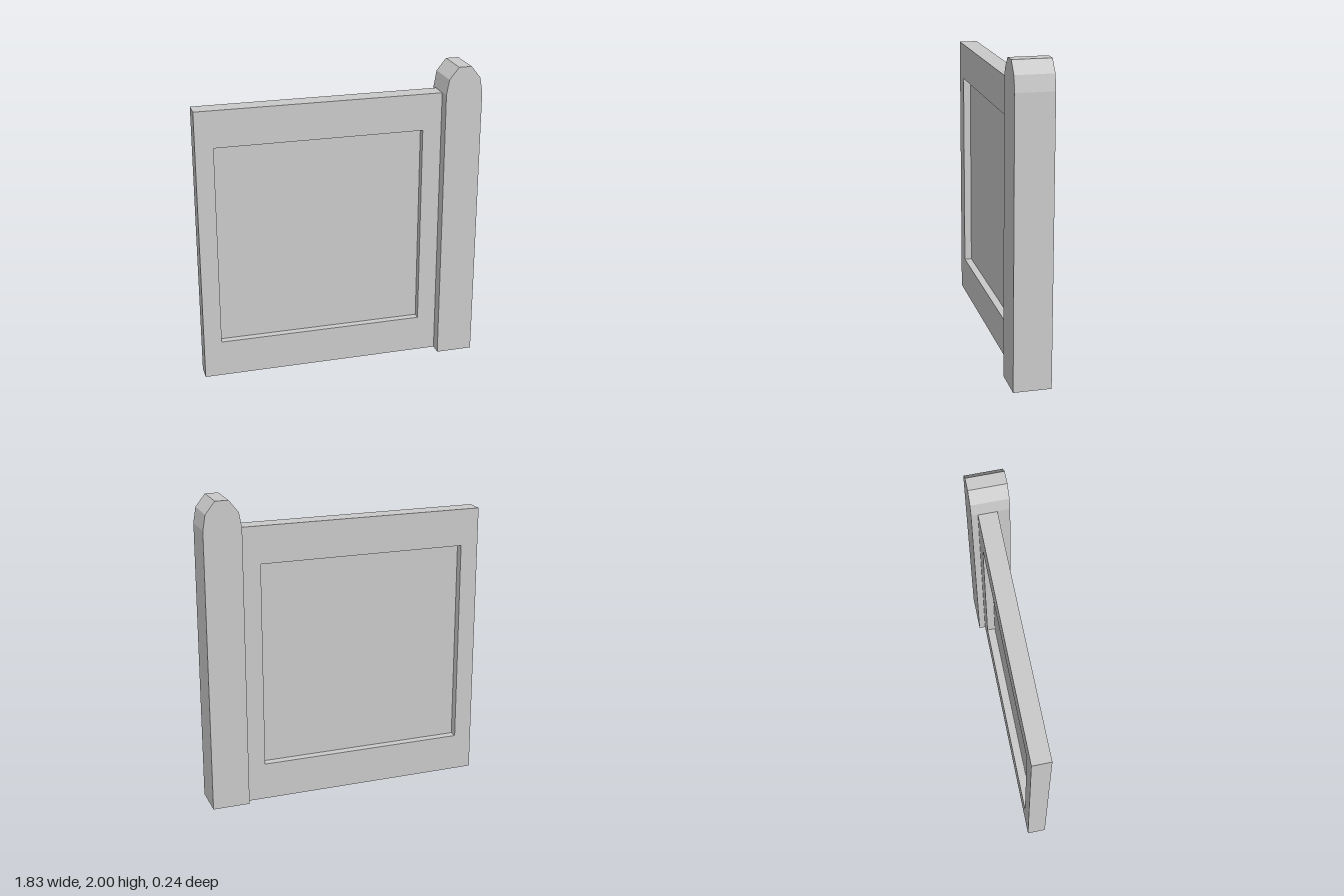
import * as THREE from 'three';

const material = new THREE.MeshStandardMaterial({ color: 0xcccccc, flatShading: true });

// Extrude a shape along z between two depths
function slab(name, shape, z0, z1) {
  const geometry = new THREE.ExtrudeGeometry(shape, { depth: z1 - z0, bevelEnabled: false });
  geometry.translate(0, 0, z0);
  const mesh = new THREE.Mesh(geometry, material);
  mesh.name = name;
  return mesh;
}

function rectPoints(x0, y0, x1, y1) {
  return [[x0, y0], [x1, y0], [x1, y1], [x0, y1]].map(([x, y]) => new THREE.Vector2(x, y));
}

export function createModel() {
  const model = new THREE.Group();
  model.name = 'fenceSection';

  // Everything is laid out around the post's axis, then turned slightly
  const section = new THREE.Group();
  section.name = 'postAndPanel';
  section.position.x = 0.793;
  section.rotation.y = -0.0185;
  model.add(section);

  // Square post with a faceted arched top, mirrored from one half profile
  const half = [[0.12, 0], [0.12, 1.825], [0.103, 1.923], [0.042, 2]];
  const outline = [...half, ...half.map(([x, y]) => [-x, y]).reverse()];
  const postShape = new THREE.Shape(outline.map(([x, y]) => new THREE.Vector2(x, y)));
  section.add(slab('post', postShape, -0.12, 0.12));

  // Panel frame with a rectangular opening; its inner end is set into the post
  const back = -0.078, front = 0.042;
  const opening = [-1.594, 0.243, -0.243, 1.58];
  const frameShape = new THREE.Shape(rectPoints(-1.71, 0, -0.06, 1.82));
  frameShape.holes.push(new THREE.Path(rectPoints(...opening)));
  section.add(slab('panelFrame', frameShape, back, front));

  // Thin board recessed from both faces of the frame
  section.add(slab('panelBoard', new THREE.Shape(rectPoints(...opening)), back + 0.054, front - 0.048));

  return model;
}
